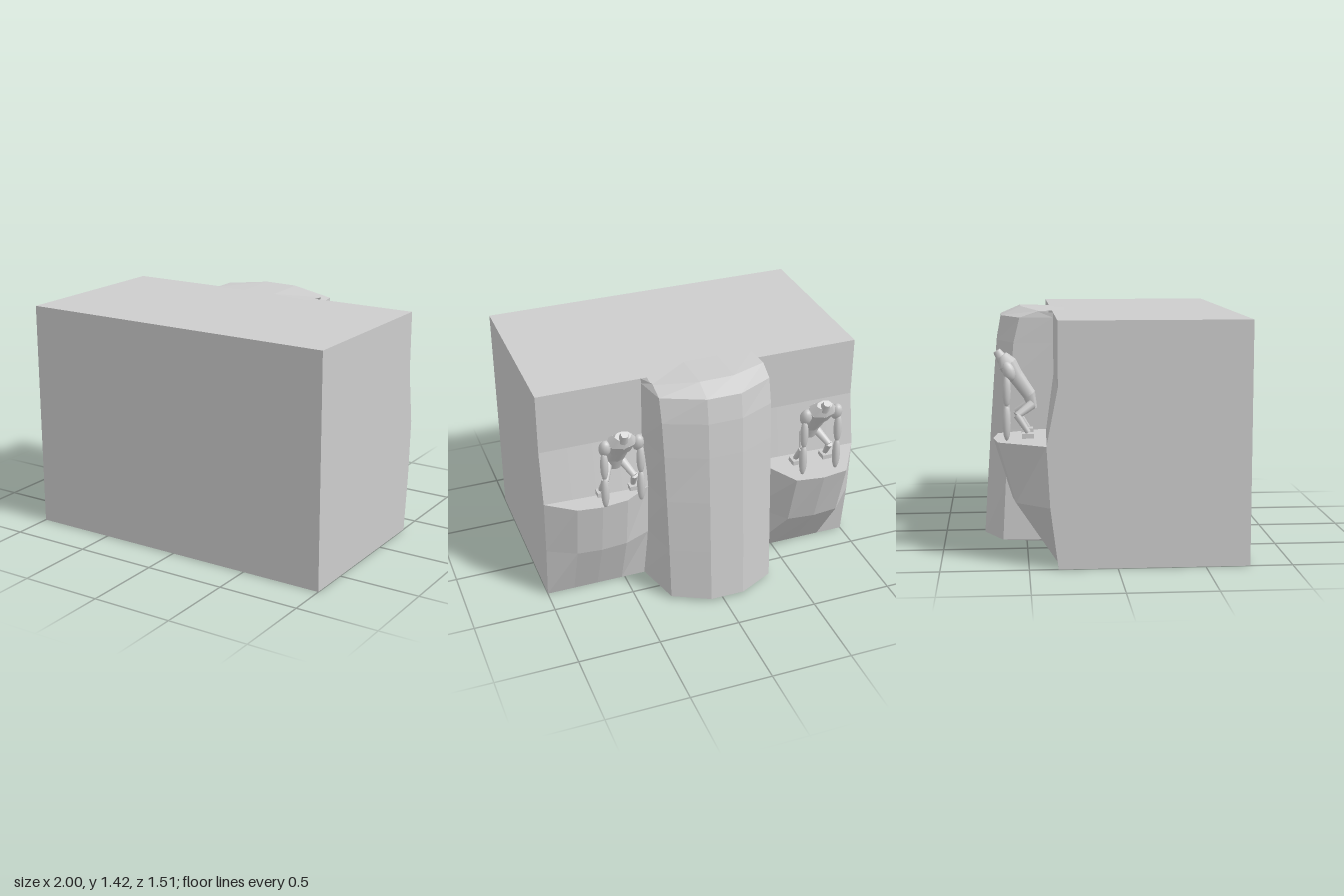
import * as THREE from 'three';

const WALL = -0.335; // z of the block's back face

// Faceted surface through rows of [x, y, z], rows running upward and x increasing along each row
function loft(rows) {
  const pos = rows.flat(2), idx = [], n = rows[0].length;
  for (let r = 0; r < rows.length - 1; r++) {
    for (let c = 0; c < n - 1; c++) {
      const a = r * n + c, b = a + 1, d = a + n, e = d + 1;
      idx.push(a, d, b, b, d, e);
    }
  }
  const g = new THREE.BufferGeometry();
  g.setAttribute('position', new THREE.Float32BufferAttribute(pos, 3));
  g.setIndex(idx);
  const flat = g.toNonIndexed();
  flat.computeVertexNormals();
  return flat;
}

export function createModel() {
  const stone = new THREE.MeshStandardMaterial({ color: 0xcccccc, side: THREE.DoubleSide });
  stone.name = 'plain grey';
  const model = new THREE.Group();
  model.name = 'ledgeBlock';

  const add = (parent, name, geometry) => {
    const mesh = new THREE.Mesh(geometry, stone);
    mesh.name = name;
    parent.add(mesh);
    return mesh;
  };

  // Main block
  add(model, 'block', new THREE.BoxGeometry(2, 1.4, 1.09)).position.set(0, 0.7, 0.21);

  // Bulging ledges: outline at the ledge height, fading into the wall at the foot
  function ledge(name, outline) {
    const first = outline[0], last = outline[outline.length - 1];
    const pts = [[first[0], WALL], ...outline, [last[0], WALL]];
    const row = (y, k) => pts.map(([x, z]) => [x, y, WALL + (z - WALL) * k]);
    const back = pts.map(([x], i) => {
      const t = (x - first[0]) / (last[0] - first[0]);
      const z = first[1] + (last[1] - first[1]) * t;
      return [x, 0.7, i === 0 || i === pts.length - 1 ? WALL : z];
    });
    add(model, name, loft([row(0, 0), row(0.35, 0.7), row(0.7, 1), back, row(1.03, 0)]));
  }
  ledge('leftLedge', [[0.36, -0.41], [0.52, -0.51], [0.68, -0.53], [0.83, -0.51], [1, -0.385]]);
  ledge('rightLedge', [[-1, -0.4], [-0.83, -0.67], [-0.67, -0.695], [-0.5, -0.67], [-0.345, -0.38]]);

  // Central buttress, leaning back to the block and capped by an overhanging lip
  const section = (y, side, back, right) => [
    [-0.36, y, WALL], [-0.35, y, side], [-0.13, y, back],
    [0.08, y, back], [right, y, side], [0.37, y, WALL],
  ];
  const foot = section(0.015, WALL, WALL, 0.3).map(([x, , z]) => [x, 0.003, z]);
  add(model, 'buttress', loft([
    foot,
    section(0.018, -0.645, -0.757, 0.3),
    section(0.36, -0.627, -0.735, 0.305),
    section(0.7, -0.607, -0.712, 0.312),
    section(1.0, -0.59, -0.69, 0.32),
    section(1.22, -0.572, -0.672, 0.327),
    section(1.37, -0.535, -0.645, 0.33),
  ]));
  add(model, 'buttressCap', loft([
    [[-0.35, 1.37, -0.535], [-0.13, 1.37, -0.645], [0.08, 1.37, -0.645], [0.33, 1.37, -0.535]],
    [[-0.36, 1.41, -0.42], [-0.13, 1.425, -0.525], [0.08, 1.422, -0.525], [0.335, 1.395, -0.42]],
    [[-0.35, 1.412, -0.265], [-0.13, 1.418, -0.26], [0.08, 1.415, -0.26], [0.33, 1.402, -0.27]],
  ]));
  // Closing sides between cap and block
  for (const [x, w] of [[-0.35, -0.36], [0.33, 0.37]]) {
    add(model, 'capSide', loft([
      [[x, 1.37, -0.535], [w, 1.37, WALL]],
      [[x, 1.403, -0.42], [w, 1.4, WALL]],
    ]));
  }

  // Stooping figure resting its long arms on the ledge edge
  function figure(name, x, z) {
    const body = new THREE.Group();
    body.name = name;
    body.position.set(x, 0, z);
    model.add(body);

    const place = (mesh, a, b) => {
      const p = new THREE.Vector3(...a), q = new THREE.Vector3(...b);
      mesh.position.copy(p).add(q).multiplyScalar(0.5);
      mesh.quaternion.setFromUnitVectors(new THREE.Vector3(0, 1, 0), q.sub(p).normalize());
      return mesh;
    };
    const span = (a, b) => Math.hypot(a[0] - b[0], a[1] - b[1], a[2] - b[2]);
    const limb = (part, a, b, r0, r1, wide = 1) => {
      const mesh = add(body, part, new THREE.CylinderGeometry(r1, r0, span(a, b), 8));
      mesh.scale.x = wide;
      return place(mesh, a, b);
    };
    const pod = (part, a, b, r) => {
      const mesh = add(body, part, new THREE.SphereGeometry(1, 10, 8));
      mesh.scale.set(r, span(a, b) / 2, r);
      return place(mesh, a, b);
    };

    limb('hips', [0, 0.87, -0.38], [0, 0.96, -0.405], 0.025, 0.038, 1.5);
    limb('waist', [0, 0.95, -0.4], [0, 1.07, -0.485], 0.038, 0.045, 1.5);
    limb('chest', [0, 1.05, -0.475], [0, 1.13, -0.525], 0.045, 0.055, 1.7);
    limb('upperChest', [0, 1.13, -0.525], [0, 1.18, -0.555], 0.055, 0.03, 1.7);
    limb('head', [0, 1.15, -0.55], [0, 1.205, -0.585], 0.034, 0.022);

    for (const s of [-1, 1]) {
      pod('shoulder', [s * 0.1, 1.04, -0.5], [s * 0.1, 1.15, -0.535], 0.036);
      pod('upperArm', [s * 0.11, 0.89, -0.532], [s * 0.11, 1.08, -0.53], 0.025);
      pod('forearm', [s * 0.11, 0.7, -0.533], [s * 0.11, 0.91, -0.533], 0.025);
      limb('thigh', [s * 0.045, 0.9, -0.385], [s * 0.09, 0.84, -0.475], 0.028, 0.02);
      limb('shin', [s * 0.09, 0.845, -0.475], [s * 0.1, 0.745, -0.41], 0.022, 0.016);
      add(body, 'foot', new THREE.BoxGeometry(0.06, 0.028, 0.068)).position.set(s * 0.1, 0.728, -0.412);
    }
  }
  figure('leftFigure', 0.555, 0);
  figure('rightFigure', -0.667, -0.085);

  return model;
}
